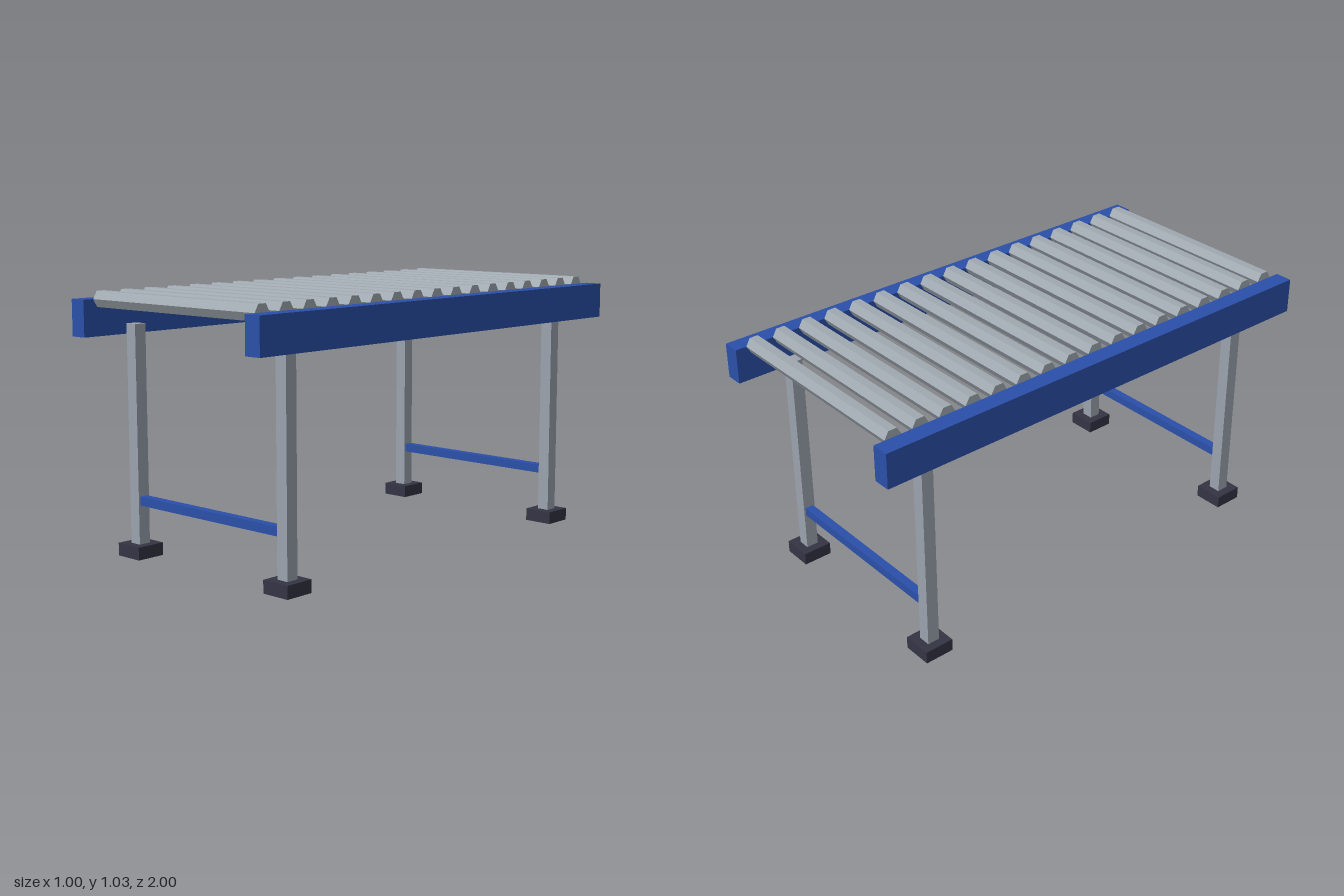
import * as THREE from 'three';

const mat = (name, color) => {
  const m = new THREE.MeshStandardMaterial({ color });
  m.name = name;
  return m;
};

export function createModel() {
  const blue = mat('frameBlue', 0x2b50aa);
  const steel = mat('legGrey', 0x9ca3af);
  const rollerGrey = mat('rollerGrey', 0xa0a9b1);
  rollerGrey.flatShading = true;
  const dark = mat('footDark', 0x343444);

  const model = new THREE.Group();
  model.name = 'rollerConveyor';

  const add = (name, geometry, material, x, y, z) => {
    const mesh = new THREE.Mesh(geometry, material);
    mesh.name = name;
    mesh.position.set(x, y, z);
    model.add(mesh);
    return mesh;
  };

  // Side rails
  const railGeo = new THREE.BoxGeometry(0.07, 0.14, 2);
  for (const s of [1, -1]) add(s > 0 ? 'leftRail' : 'rightRail', railGeo, blue, s * 0.465, 0.93, 0);

  // Six-sided rollers, flat face up, lying along x
  const rollerGeo = new THREE.CylinderGeometry(0.035, 0.035, 0.86, 6);
  rollerGeo.rotateZ(Math.PI / 2);
  const count = 17, pitch = 0.115;
  for (let i = 0; i < count; i++) {
    add('roller' + (i + 1), rollerGeo, rollerGrey, 0, 1, (i - (count - 1) / 2) * pitch);
  }

  // Legs, feet and cross braces at each end
  const legGeo = new THREE.BoxGeometry(0.05, 0.88, 0.05);
  const footGeo = new THREE.BoxGeometry(0.12, 0.05, 0.12);
  const braceGeo = new THREE.BoxGeometry(0.75, 0.035, 0.035);
  for (const [end, z] of [['front', 0.78], ['back', -0.78]]) {
    for (const [side, x] of [['Left', 0.4], ['Right', -0.4]]) {
      add(end + side + 'Leg', legGeo, steel, x, 0.46, z);
      add(end + side + 'Foot', footGeo, dark, x, 0.025, z);
    }
    add(end + 'Brace', braceGeo, blue, 0, 0.22, z);
  }

  return model;
}
